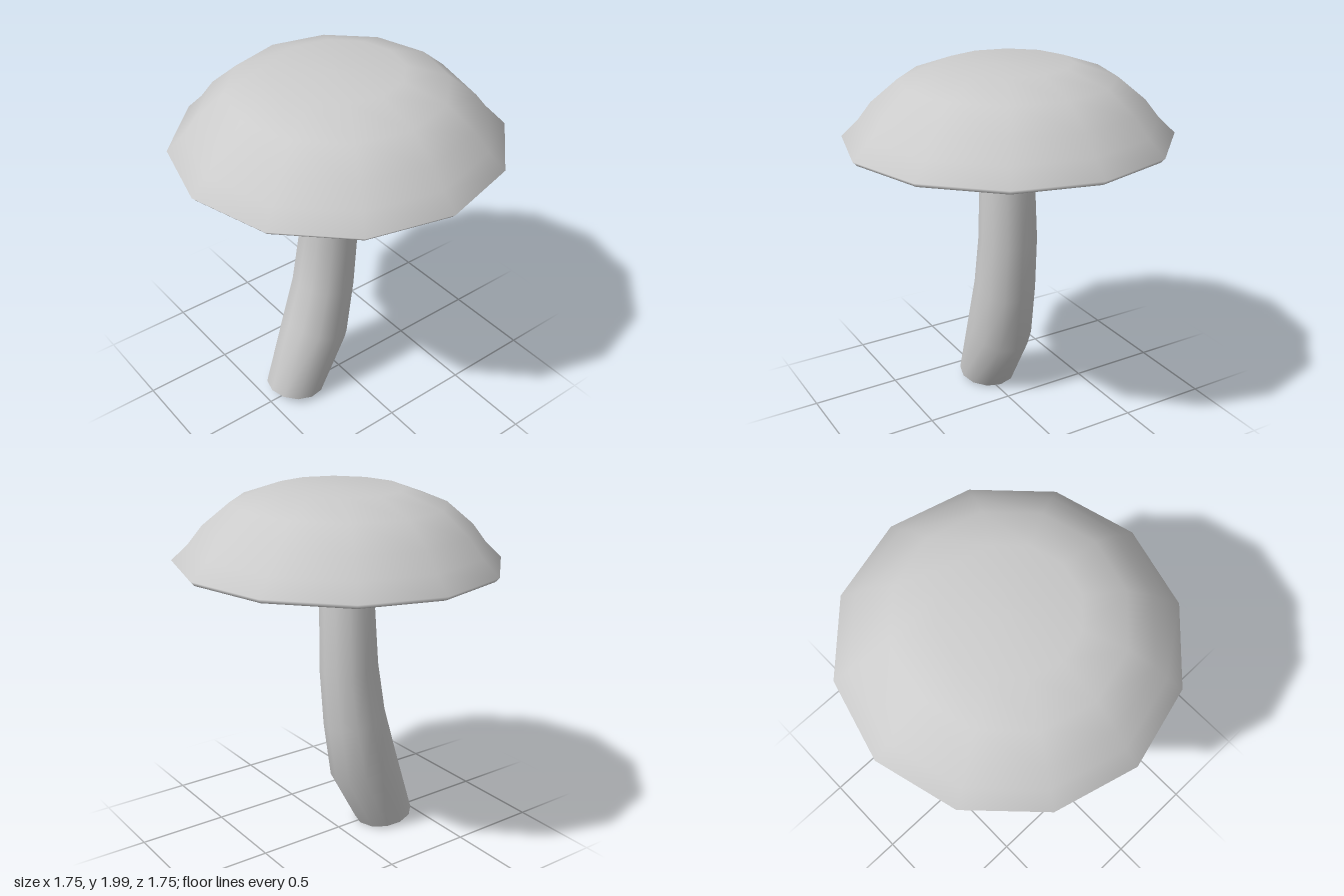
import * as THREE from 'three';

const SIDES = 12;
const material = new THREE.MeshStandardMaterial({ color: 0xcccccc, side: THREE.DoubleSide });

function makeMesh(name, geometry) {
  const mesh = new THREE.Mesh(geometry, material);
  mesh.name = name;
  return mesh;
}

// Profile points are [radius, height], from the underside outward and up
function lathe(profile) {
  return new THREE.LatheGeometry(profile.map(([r, y]) => new THREE.Vector2(r, y)), SIDES);
}

// Smooth skin over tilted loops: [x, y, z, radius, rise per unit of z]
function skin(loops) {
  const positions = [];
  const index = [];
  loops.forEach(([x, y, z, r, slope], j) => {
    for (let i = 0; i < SIDES; i++) {
      const a = (i / SIDES) * Math.PI * 2;
      const dz = Math.sin(a) * r;
      positions.push(x + Math.cos(a) * r, y + dz * slope, z + dz);
      if (j === loops.length - 1) continue;
      const a0 = j * SIDES + i;
      const b0 = j * SIDES + ((i + 1) % SIDES);
      index.push(a0, a0 + SIDES, b0, b0, a0 + SIDES, b0 + SIDES);
    }
  });
  const geometry = new THREE.BufferGeometry();
  geometry.setAttribute('position', new THREE.Float32BufferAttribute(positions, 3));
  geometry.setIndex(index);
  geometry.computeVertexNormals();
  return geometry;
}

export function createModel() {
  const group = new THREE.Group();
  group.name = 'mushroom';

  // Cap: shallow hollow underside, thin rim and faceted dome, leaning slightly forward
  const cap = makeMesh('cap', lathe([
    [0, 0.14], [0.15, 0.115], [0.83, -0.004], [0.852, -0.009],
    [0.873, 0.014], [0.785, 0.098], [0.71, 0.195], [0.565, 0.315], [0.34, 0.394], [0, 0.397],
  ]));
  cap.position.y = 1.6;
  cap.rotation.x = 0.016;
  group.add(cap);

  // Stem: bends forward at the foot, with a slightly dished base
  group.add(makeMesh('stem', skin([
    [-0.03, 0.042, 0.3, 0.001, 0.154],
    [-0.03, 0.036, 0.301, 0.145, 0.154],
    [-0.03, 0.031, 0.302, 0.166, 0.154],
    [-0.03, 0.405, 0.148, 0.184, 0.47],
    [-0.029, 0.7, 0.086, 0.172, 0.25],
    [-0.027, 1.005, 0.05, 0.162, 0.1],
    [-0.015, 1.49, 0.04, 0.146, 0.03],
    [-0.015, 1.72, 0.04, 0.11, 0],
  ])));

  // Skirt: flared collar under the cap
  const skirt = makeMesh('skirt', lathe([
    [0.14, 0.02], [0.185, -0.01], [0.199, 0], [0.2, 0.016], [0.172, 0.11], [0.14, 0.21], [0.11, 0.235],
  ]));
  skirt.position.set(-0.022, 1.488, 0.033);
  skirt.rotation.z = 0.06;
  group.add(skirt);

  return group;
}
